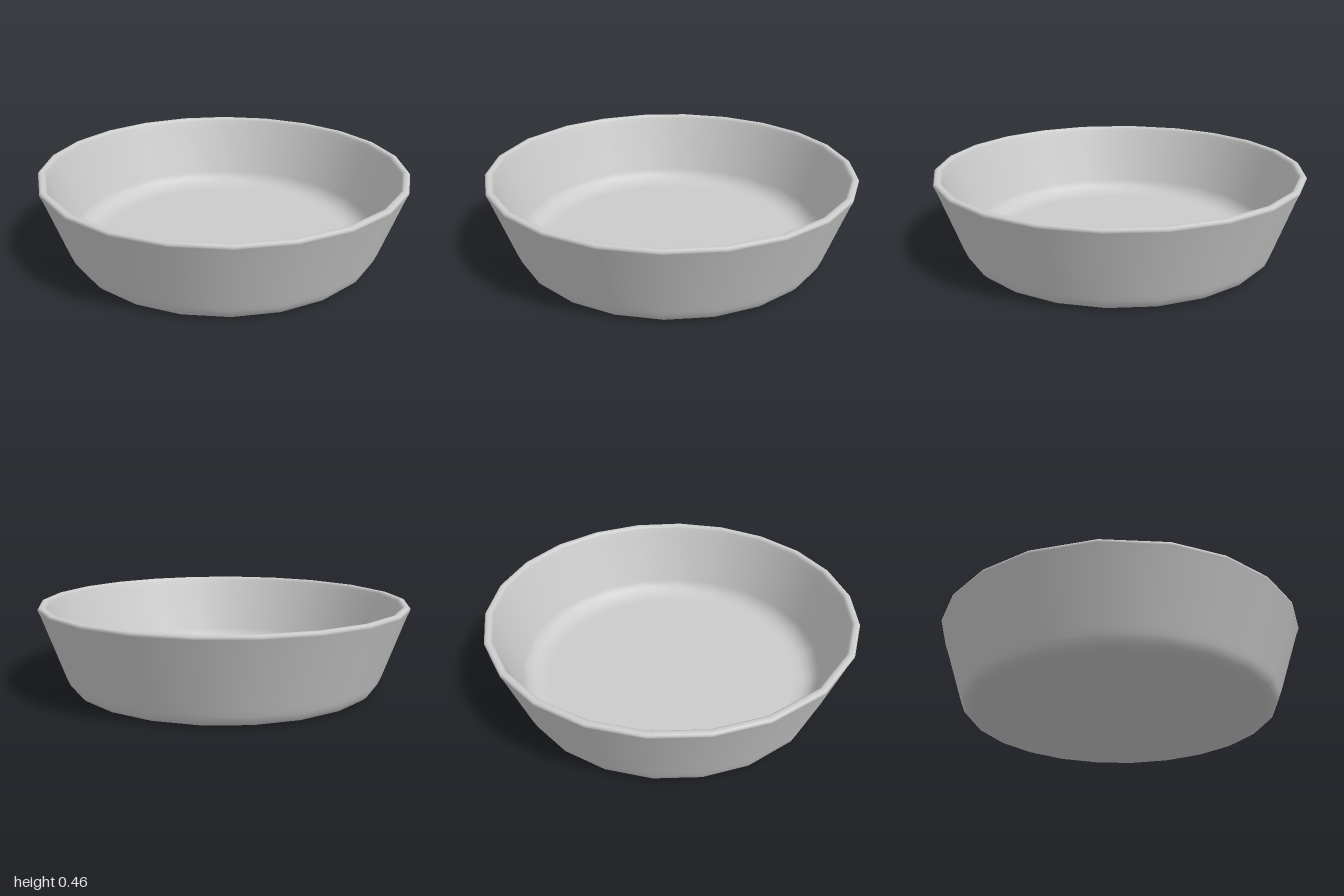
import * as THREE from 'three';

const SIDES = 22;
const STEP = THREE.MathUtils.degToRad(16.1); // regular side; the two sides at -x are wider

// Turns each ring of vertices, with its normals, onto the slightly uneven sides.
function spaceSides(geometry) {
  const pos = geometry.attributes.position;
  const nor = geometry.attributes.normal;
  const up = new THREE.Vector3(0, 1, 0);
  const v = new THREE.Vector3();
  for (let i = 0; i < pos.count; i++) {
    v.fromBufferAttribute(pos, i);
    const angle = Math.atan2(v.z, v.x);
    const k = Math.round(angle / (2 * Math.PI / SIDES));
    const target = Math.abs(k) === SIDES / 2 ? Math.sign(k) * Math.PI : k * STEP;
    const turn = angle - target;
    v.applyAxisAngle(up, turn);
    pos.setXYZ(i, v.x, v.y, v.z);
    v.fromBufferAttribute(nor, i).applyAxisAngle(up, turn);
    nor.setXYZ(i, v.x, v.y, v.z);
  }
  return geometry;
}

export function createModel() {
  const group = new THREE.Group();
  group.name = 'dish';

  // Closed section: underside, outer wall, rounded rim, inner wall, floor
  const profile = [
    [0, 0], [0.79, 0], [0.805, 0], [0.835, 0.01], [0.853, 0.03], [0.863, 0.055],
    [0.875, 0.085], [0.985, 0.405], [0.998, 0.435], [1, 0.445], [0.994, 0.453], [0.985, 0.455],
    [0.972, 0.455], [0.963, 0.45], [0.958, 0.44], [0.945, 0.405],
    [0.84, 0.115], [0.82, 0.08], [0.79, 0.055], [0.755, 0.043], [0.72, 0.04], [0.7, 0.04], [0, 0.04],
  ].map(([r, y]) => new THREE.Vector2(r, y));

  const geometry = spaceSides(new THREE.LatheGeometry(profile, SIDES, Math.PI / 2));
  const bowl = new THREE.Mesh(geometry, new THREE.MeshStandardMaterial({ color: 0xcccccc }));
  bowl.name = 'bowl';
  group.add(bowl);
  return group;
}
